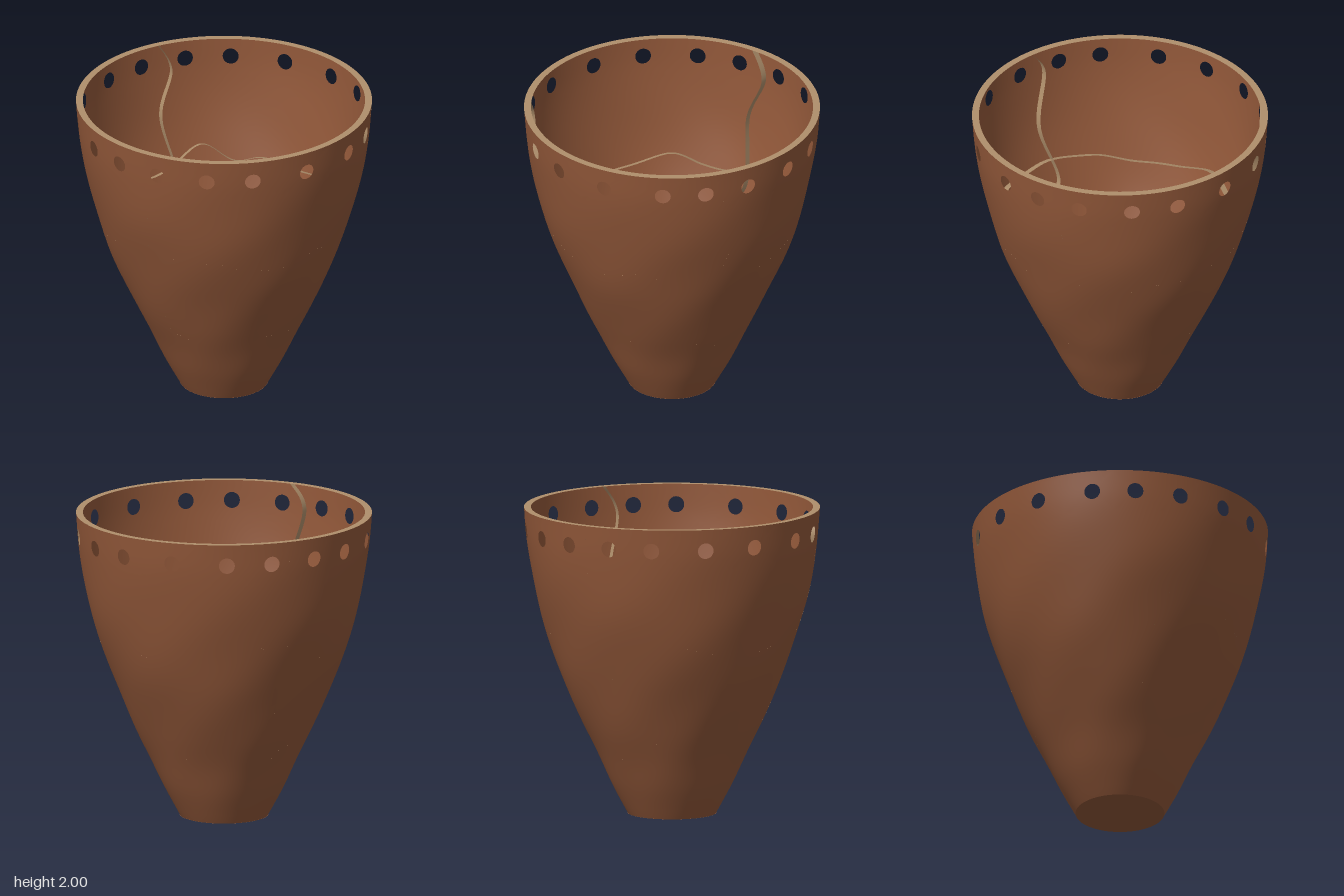
import * as THREE from 'three';
import { mergeGeometries, mergeVertices } from 'three/addons/utils/BufferGeometryUtils.js';

const V2 = (p) => new THREE.Vector2(p[0], p[1]);
const RAD = Math.PI / 180;
const THICK = 0.045;
const BAND = 1.72; // height where the pierced band begins
const HOLE_Y = 1.86, HOLE_R = 0.052;

// Wall profile: radius, height
const profile = new THREE.SplineCurve([
  [0.285, 0], [0.302, 0.03], [0.392, 0.2], [0.484, 0.4], [0.58, 0.6], [0.668, 0.8], [0.748, 1],
  [0.815, 1.2], [0.87, 1.4], [0.911, 1.6], [0.94, 1.8], [0.956, 2],
].map(V2)).getPoints(300);

// Linear lookup along the profile, either way round
function lookup(from, to, v) {
  let i = 1;
  while (i < profile.length - 1 && profile[i][from] < v) i++;
  const a = profile[i - 1], b = profile[i];
  const t = THREE.MathUtils.clamp((v - a[from]) / (b[from] - a[from]), 0, 1);
  return a[to] + (b[to] - a[to]) * t;
}
const radiusAt = (y) => lookup('y', 'x', y);
const heightAt = (r) => lookup('x', 'y', r);

// Point on the hand-made wall; angle f runs from +z towards +x; inset goes into the wall
function wallPoint(f, y, inset = 0) {
  const fade = Math.sin(Math.PI * Math.min(y / 2, 1));
  const bump = 0.004 * fade * (Math.sin(3 * f + 6 * y) + Math.sin(7 * f - 9 * y) * 0.6);
  const lo = Math.max(y - 0.02, 0), hi = Math.min(y + 0.02, 2);
  const slope = (radiusAt(hi) - radiusAt(lo)) / (hi - lo);
  const n = Math.hypot(1, slope);
  const r = radiusAt(y) + bump - inset / n;
  const h = y >= 2 ? 2 : y + (inset * slope) / n;
  return [r * Math.sin(f), h, r * Math.cos(f)];
}

// Grid surface from a rule giving a point for each column and row
function grid(cols, rows, point) {
  const pos = [], idx = [];
  for (let j = 0; j <= rows; j++) for (let i = 0; i <= cols; i++) pos.push(...point(i, j));
  for (let j = 0; j < rows; j++) for (let i = 0; i < cols; i++) {
    const a = j * (cols + 1) + i, b = a + cols + 1;
    idx.push(a, a + 1, b + 1, a, b + 1, b);
  }
  const g = new THREE.BufferGeometry();
  g.setAttribute('position', new THREE.Float32BufferAttribute(pos, 3));
  g.setIndex(idx);
  return g;
}

function smooth(g) {
  const merged = mergeVertices(g, 1e-4);
  merged.computeVertexNormals();
  return merged;
}

// Slightly uneven hole directions, in degrees from the front
const holes = [-80, -57, -40, -21.6, -1.2, 17, 40, 64, 81, 99, 120, 138.5, 161, 183, 201, 220, 237.5, 259];

function buildWall() {
  const parts = [], angles = [], SIDE = 8;
  const edge = (k) => {
    const n = holes.length;
    const a = holes[(k - 1 + n) % n] - (k === 0 ? 360 : 0);
    const b = holes[k % n] + (k === n ? 360 : 0);
    return ((a + b) / 2) * RAD;
  };
  holes.forEach((deg, k) => {
    const f0 = edge(k), f1 = edge(k + 1), fc = deg * RAD;
    for (let s = 0; s < SIDE; s++) angles.push(f0 + ((f1 - f0) * s) / SIDE);
    // One cell of the band: rings growing from the round hole to the cell border
    const border = (i) => {
      const s = Math.floor(i / SIDE) % 4, t = (i % SIDE) / SIDE;
      const [u, v] = [[t, 0], [1, t], [1 - t, 1], [0, 1 - t]][s];
      return [f0 + (f1 - f0) * u, BAND + (2 - BAND) * v];
    };
    parts.push(grid(SIDE * 4, 4, (i, j) => {
      const [bf, by] = border(i);
      const arc = (bf - fc) * 0.95, up = by - HOLE_Y, d = Math.hypot(arc, up);
      const hf = fc + ((arc / d) * HOLE_R) / 0.95, hy = HOLE_Y + (up / d) * HOLE_R;
      const t = 1 - j / 4;
      return wallPoint(hf + (bf - hf) * t, hy + (by - hy) * t);
    }));
  });
  angles.push(angles[0] + 2 * Math.PI);
  // Plain wall below the band
  const ROWS = 60;
  parts.push(grid(angles.length - 1, ROWS, (i, j) => wallPoint(angles[i], (BAND * j) / ROWS)));
  return smooth(mergeGeometries(parts));
}

// Thin ledge standing inward from the wall along a path of [angle, height]
function ledge(path) {
  return smooth(grid(path.length - 1, 1, (i, j) => wallPoint(path[i][0], path[i][1], j * THICK)));
}

// Closed wavy ledge from evenly listed [x, z] plan points
function ringPath(plan) {
  const c = new THREE.CatmullRomCurve3(plan.map(([x, z]) => new THREE.Vector3(x, 0, z)), true);
  return c.getPoints(240).map((p) => [Math.atan2(p.x, p.z), heightAt(Math.hypot(p.x, p.z))]);
}

// Zigzag ledge from [height, plan angle] points
function seamPath(points) {
  return new THREE.SplineCurve(points.map(([y, a]) => V2([(90 - a) * RAD, y])))
    .getPoints(90).map((p) => [p.x, Math.min(p.y, 2)]);
}

export function createModel() {
  const clay = new THREE.MeshStandardMaterial({ color: 0x8f5638, side: THREE.DoubleSide });
  clay.name = 'terracotta';
  const raw = new THREE.MeshStandardMaterial({ color: 0xaf8f6b, side: THREE.DoubleSide });
  raw.name = 'pale clay';

  const group = new THREE.Group();
  group.name = 'pot';
  const add = (name, geometry, material) => {
    const m = new THREE.Mesh(geometry, material);
    m.name = name;
    group.add(m);
    return m;
  };

  add('wall', buildWall(), clay);
  add('base', new THREE.CircleGeometry(0.287, 96).rotateX(Math.PI / 2), clay);

  // Flat pale rim
  const circle = Array.from({ length: 145 }, (_, i) => [(i / 144) * 2 * Math.PI, 2]);
  add('rim', ledge(circle), raw);

  // Two wavy rings inside
  add('upperRing', ledge(ringPath([
    [-0.23, -0.81], [0.0, -0.81], [0.18, -0.80], [0.39, -0.71], [0.59, -0.56], [0.70, -0.38],
    [0.77, -0.17], [0.83, 0.0], [0.72, 0.34], [0.65, 0.49], [0.41, 0.68], [0.22, 0.77],
    [0, 0.82], [-0.38, 0.73], [-0.64, 0.50], [-0.76, 0.24], [-0.80, 0], [-0.76, -0.30],
    [-0.64, -0.48], [-0.43, -0.68],
  ])), raw);
  add('lowerRing', ledge(ringPath([
    [0, -0.52], [0.08, -0.53], [0.19, -0.47], [0.34, -0.43], [0.45, -0.30], [0.48, -0.17],
    [0.55, 0.01], [0.48, 0.24], [0.39, 0.38], [0.26, 0.48], [0, 0.52], [-0.12, 0.52],
    [-0.27, 0.48], [-0.38, 0.32], [-0.48, 0.20], [-0.54, 0.07], [-0.50, -0.12], [-0.48, -0.25],
    [-0.38, -0.39], [-0.25, -0.41], [-0.12, -0.51],
  ])), raw);

  // Three zigzag seams from the lower ring up to the rim
  [
    ['leftSeam', [[2, -3.9], [1.8, 1.8], [1.42, -3.6], [1.15, 1], [0.95, -3.1], [0.75, 1.3], [0.53, 0.8]]],
    ['frontSeam', [[2, 116], [1.83, 122.5], [1.45, 117.5], [1.1, 123], [0.95, 116.4], [0.68, 122], [0.5, 120]]],
    ['backSeam', [[2, -123], [1.8, -117.4], [1.5, -123.5], [1.1, -118.7], [0.95, -124], [0.73, -119.6],
      [0.55, -118], [0.43, -122]]],
  ].forEach(([name, points]) => add(name, ledge(seamPath(points)), raw));

  return group;
}
